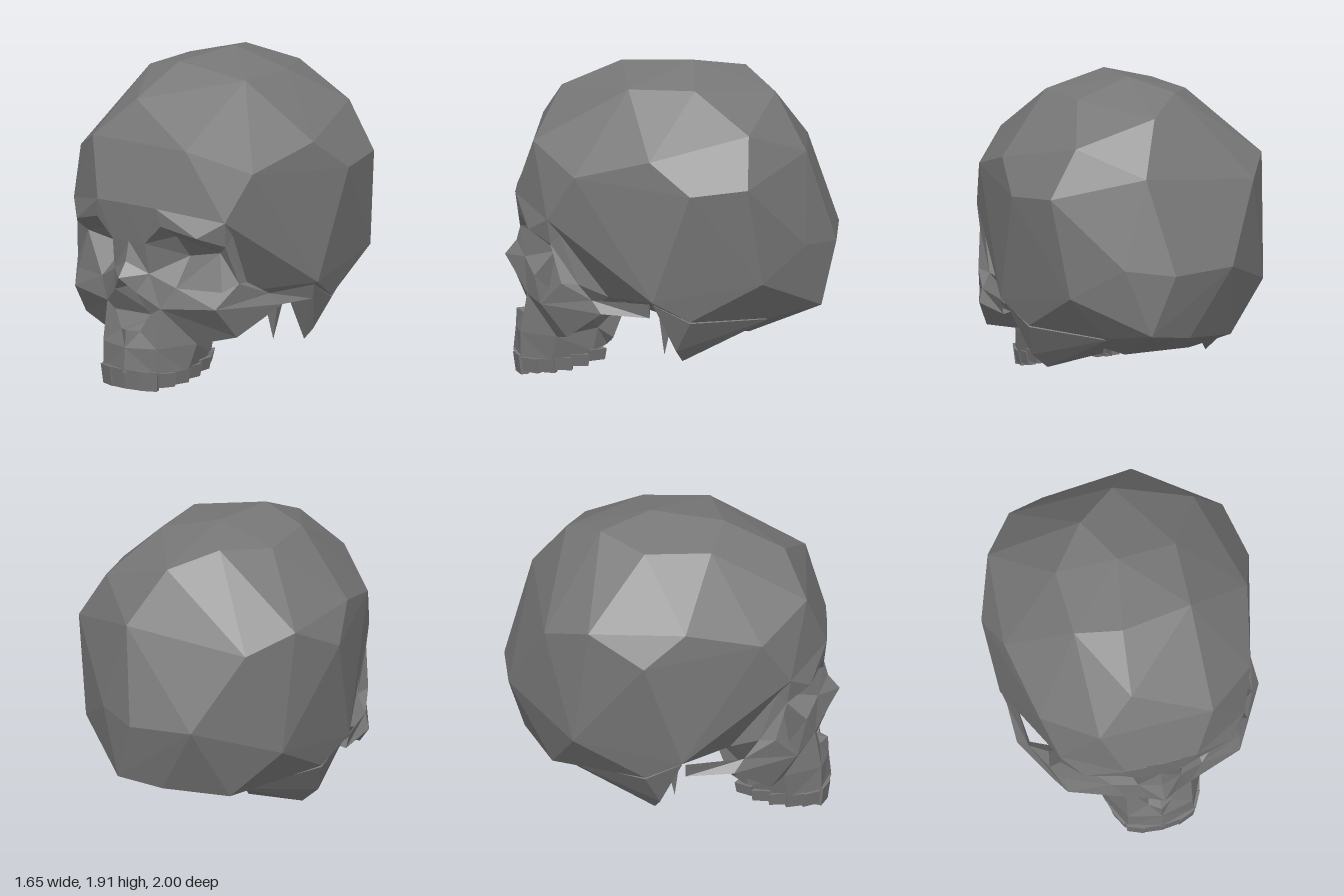
import * as THREE from 'three';
import { ConvexGeometry } from 'three/addons/geometries/ConvexGeometry.js';

const bone = new THREE.MeshStandardMaterial({ color: 0x777777, flatShading: true, side: THREE.DoubleSide });

function addMesh(parent, name, geometry) {
  const mesh = new THREE.Mesh(geometry, bone);
  mesh.name = name;
  parent.add(mesh);
  return mesh;
}

// Facets given as space-separated corner names; side = -1 mirrors them in x
function facets(points, polygons, side) {
  const pos = [];
  for (const poly of polygons) {
    const c = poly.split(' ').map((n) => points[n]);
    for (let i = 1; i < c.length - 1; i++) {
      const tri = side > 0 ? [c[0], c[i], c[i + 1]] : [c[0], c[i + 1], c[i]];
      for (const p of tri) pos.push(p[0] * side, p[1], p[2]);
    }
  }
  const g = new THREE.BufferGeometry();
  g.setAttribute('position', new THREE.Float32BufferAttribute(pos, 3));
  g.computeVertexNormals();
  return g;
}

const hull = (pts, side = 1) => new ConvexGeometry(pts.map(([x, y, z]) => new THREE.Vector3(x * side, y, z)));

// Corners of the left half of the face
const brow = {
  forehead: [0, 1.13, 0.925], foreheadSide: [0.22, 1.13, 0.92], glabella: [0, 0.9, 0.9],
  browIn: [0.12, 0.9, 0.9], browTop: [0.24, 1.02, 0.9], browOut: [0.45, 0.96, 0.82],
  browEnd: [0.56, 0.9, 0.68], temple: [0.57, 1.05, 0.7], postTop: [0.57, 0.96, 0.62],
};
const socket = {
  rimIn: [0.13, 0.71, 0.87], rimLow: [0.28, 0.63, 0.8], rimOut: [0.54, 0.62, 0.69],
  rimSide: [0.61, 0.67, 0.61], deepIn: [0.23, 0.93, 0.73], deepLow: [0.24, 0.79, 0.61],
  deepOut: [0.5, 0.85, 0.65],
};
const nose = {
  bridge: [0, 0.78, 0.93], tip: [0, 0.69, 1], wing: [0.08, 0.6, 0.93], wide: [0.13, 0.46, 0.86],
  sill: [0.07, 0.35, 0.88], spine: [0, 0.36, 0.93], hollow: [0, 0.62, 0.68], hollowLow: [0, 0.39, 0.62],
};
const cheek = {
  cheek: [0.53, 0.52, 0.74], cheekLow: [0.57, 0.33, 0.58], archTop: [0.69, 0.59, 0.42],
  archLow: [0.745, 0.52, 0.36], archIn: [0.67, 0.51, 0.37], earTop: [0.76, 0.59, 0.07],
  earLow: [0.74, 0.5, 0.07], earIn: [0.69, 0.51, 0.07], postLow: [0.59, 0.66, 0.51],
  inner: [0.44, 0.46, 0.46], base: [0.48, 0.56, 0.34],
};
const jaw = {
  canine: [0.2, 0.5, 0.85], mid: [0, 0.25, 0.935], front: [0.2, 0.26, 0.89], side: [0.33, 0.27, 0.66],
  back: [0.28, 0.32, 0.42], gumMid: [0, 0.1, 0.95], gumFront: [0.2, 0.1, 0.89],
  gumSide: [0.29, 0.1, 0.7], gumBack: [0.27, 0.17, 0.45], gumEnd: [0.2, 0.2, 0.37],
  palate: [0, 0.15, 0.75], palateEnd: [0, 0.22, 0.4], wingTop: [0.2, 0.49, 0.24],
  wingLow: [0.24, 0.25, 0.33], roof: [0, 0.5, 0.26],
};
const corners = { ...brow, ...socket, ...nose, ...cheek, ...jaw };

const faceParts = {
  browRidge: ['forehead glabella browIn foreheadSide', 'foreheadSide browIn browTop',
    'foreheadSide browTop browOut temple', 'temple browOut browEnd', 'temple browEnd postTop'],
  eyeSocket: ['browTop browIn deepIn', 'browTop deepIn deepOut browOut', 'browEnd browOut deepOut',
    'deepIn deepLow deepOut', 'browIn rimIn deepLow deepIn', 'rimIn rimLow deepLow',
    'rimLow rimOut deepOut deepLow', 'rimOut rimSide deepOut', 'rimSide browEnd deepOut'],
  noseBone: ['glabella rimIn browIn', 'glabella bridge rimIn', 'bridge tip rimIn', 'tip wing rimIn'],
  noseCavity: ['tip hollow wing', 'wing hollow hollowLow wide', 'wide hollowLow sill', 'sill hollowLow spine'],
  cheekbone: ['rimLow cheek rimOut', 'rimLow canine cheek', 'rimOut cheek rimSide',
    'cheek archTop rimSide', 'cheek cheekLow archLow archTop', 'canine cheekLow cheek',
    'browEnd rimSide postLow postTop', 'rimSide archTop postLow', 'postLow archTop inner',
    'cheekLow inner archIn archLow', 'archTop archIn inner'],
  cheekArch: ['archTop archLow earLow earTop', 'archTop earTop earIn archIn', 'archIn earIn earLow archLow'],
  templeFloor: ['postTop postLow base', 'postLow inner base', 'inner wingTop base'],
  upperJaw: ['rimIn wing canine rimLow', 'wing wide canine', 'wide sill front canine',
    'sill spine mid front', 'canine front side cheekLow', 'cheekLow side inner', 'side back inner',
    'mid gumMid gumFront front', 'front gumFront gumSide side', 'side gumSide gumBack back',
    'back gumBack gumEnd wingLow', 'inner back wingTop', 'back wingLow wingTop'],
  palate: ['gumMid palate gumFront', 'gumFront palate gumSide', 'gumSide palate palateEnd gumBack',
    'gumBack palateEnd gumEnd', 'gumEnd palateEnd wingLow', 'wingLow palateEnd roof wingTop'],
};

export function createModel() {
  const skull = new THREE.Group();
  skull.name = 'skull';

  // Braincase: faceted shell over mirrored corners plus an uneven crown and back
  const half = [
    [0.22, 1.13, 0.92], [0.35, 1.48, 0.8], [0.57, 1.05, 0.7], [0.65, 1.33, 0.53],
    [0.36, 1.81, 0.23], [0.37, 1.81, -0.17], [0.75, 1.46, 0.07], [0.825, 1.27, -0.18],
    [0.66, 0.7, -0.6], [0.22, 0.3, -0.48], [0.7, 0.47, -0.17], [0.77, 0.6, 0.05],
    [0.48, 0.56, 0.34], [0.2, 0.5, 0.25],
  ];
  const midline = [[-0.12, 1.71, 0.67], [-0.08, 1.88, 0.31], [0, 1.91, -0.13],
    [-0.15, 1.85, -0.43], [0.1, 1.75, -0.63], [0, 0.45, -0.88]];
  const backLeft = [[0.75, 1.3, -0.52], [0.57, 1.59, -0.51], [0.27, 1.43, -0.83],
    [0.42, 0.89, -0.84], [0.16, 0.86, -1], [0.28, 0.49, -0.92], [0.42, 0.44, -0.63]];
  const backRight = [[-0.7, 1.45, -0.51], [-0.5, 1.35, -0.77], [-0.24, 0.88, -0.98], [-0.37, 0.41, -0.72]];
  addMesh(skull, 'cranium', hull([...half, ...half.map(([x, y, z]) => [-x, y, z]),
    ...midline, ...backLeft, ...backRight]));

  // Centre line of the tooth row, along the gum edge
  const row = new THREE.CatmullRomCurve3([[0, 0.1, 0.91], [0.17, 0.09, 0.87], [0.25, 0.1, 0.7],
    [0.25, 0.15, 0.47], [0.21, 0.18, 0.4]].map((p) => new THREE.Vector3(...p)));

  for (const side of [1, -1]) {
    const group = new THREE.Group();
    group.name = side > 0 ? 'leftHalf' : 'rightHalf';
    skull.add(group);

    for (const [name, polys] of Object.entries(faceParts)) {
      addMesh(group, name, facets(corners, polys, side));
    }

    // Bony knob and spike behind the jaw hinge
    addMesh(group, 'mastoid', hull([[0.54, 0.19, -0.11], [0.63, 0.27, -0.08], [0.7, 0.46, -0.17],
      [0.74, 0.58, 0.05], [0.5, 0.44, -0.02], [0.34, 0.31, -0.42], [0.42, 0.43, -0.62]], side));
    addMesh(group, 'styloid', hull([[0.4, 0.19, 0.01], [0.36, 0.36, 0.02], [0.44, 0.46, -0.05],
      [0.36, 0.47, 0.05], [0.46, 0.46, 0.04]], side));

    // Teeth: blocks narrowing downwards, shorter towards the back
    for (let i = 0; i < 7; i++) {
      const t = (i + 0.5) / 7;
      const p = row.getPointAt(t);
      const d = row.getTangentAt(t);
      const h = i < 2 ? 0.12 : 0.1 - 0.005 * i;
      const g = new THREE.BoxGeometry(0.112, h, 0.08);
      const v = g.attributes.position;
      for (let k = 0; k < v.count; k++) {
        if (v.getY(k) < 0) v.setXYZ(k, v.getX(k) * 0.93, v.getY(k), v.getZ(k) * 0.6);
      }
      const tooth = addMesh(group, 'tooth', g);
      tooth.position.set(p.x * side, Math.max(p.y + 0.02 - h / 2, h / 2), p.z);
      tooth.rotation.y = Math.atan2(-d.z, d.x * side);
    }
  }
  return skull;
}
